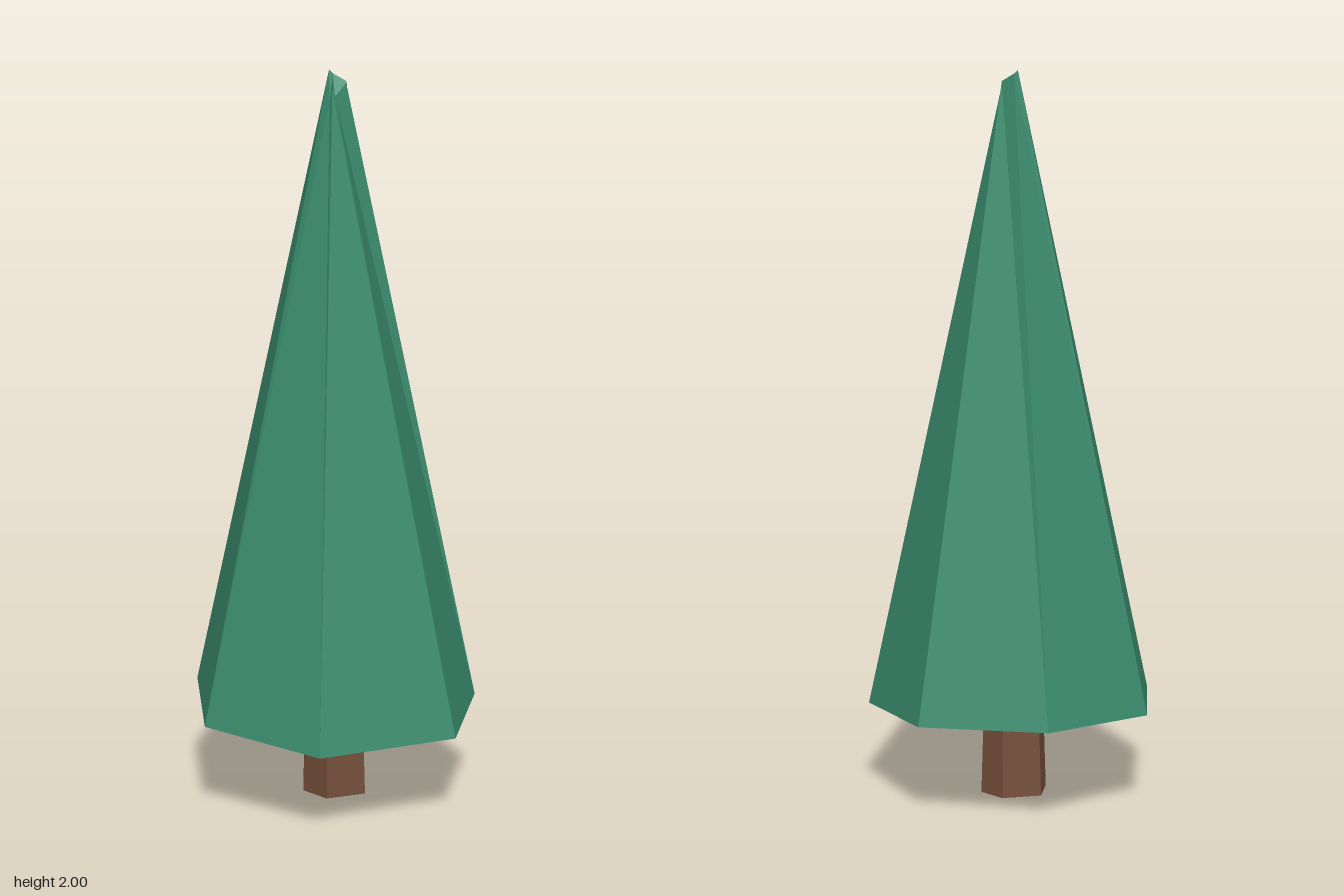
import * as THREE from 'three';

// Closed faceted solid between two rings of [x, y, z] corners (clockwise from above)
function loft(name, bottom, top, color) {
  const pos = [];
  const tri = (...corners) => corners.forEach((c) => pos.push(...c));
  const n = bottom.length;
  for (let i = 0; i < n; i++) {
    const j = (i + 1) % n;
    tri(bottom[i], top[i], top[j]);
    tri(bottom[i], top[j], bottom[j]);
    if (i > 0 && j > 0) {
      tri(bottom[0], bottom[i], bottom[j]);
      tri(top[0], top[j], top[i]);
    }
  }
  const geometry = new THREE.BufferGeometry();
  geometry.setAttribute('position', new THREE.Float32BufferAttribute(pos, 3));
  geometry.computeVertexNormals();
  const mesh = new THREE.Mesh(geometry, new THREE.MeshStandardMaterial({
    color, flatShading: true, side: THREE.DoubleSide,
  }));
  mesh.name = name;
  return mesh;
}

export function createModel() {
  const tree = new THREE.Group();
  tree.name = 'pineTree';

  // Foliage: uneven seven-sided cone, its base tilted down to the front
  const rim = [
    [0.01, -0.418], [0.328, -0.255], [0.405, 0.09], [0.205, 0.395],
    [-0.195, 0.415], [-0.405, 0.1], [-0.297, -0.283],
  ].map(([x, z]) => [x, 0.255 - 0.06 * z, z]);
  // Small crooked tip
  const tip = [
    [0.01, 1.99, -0.005], [0.037, 1.97, 0.025], [0.035, 1.965, 0.028], [0, 1.93, 0.035],
    [-0.005, 1.95, 0.028], [-0.01, 1.92, 0.022], [0, 2, -0.008],
  ];
  tree.add(loft('foliage', rim, tip, 0x3a8c6e));

  // Trunk: slightly tapered hexagon reaching into the foliage
  const hexagon = [
    [-0.05, 0.1], [-0.085, 0.01], [-0.05, -0.08],
    [0.06, -0.08], [0.105, -0.01], [0.065, 0.1],
  ].reverse();
  const ring = (y, s) => hexagon.map(([x, z]) => [0.01 + (x - 0.01) * s, y, 0.01 + (z - 0.01) * s]);
  // List order runs anticlockwise here, so flip it to match the loft
  const order = (r) => r.reverse();
  tree.add(loft('trunk', order(ring(0, 1)), order(ring(0.3, 0.9)), 0x754f3a));

  return tree;
}
